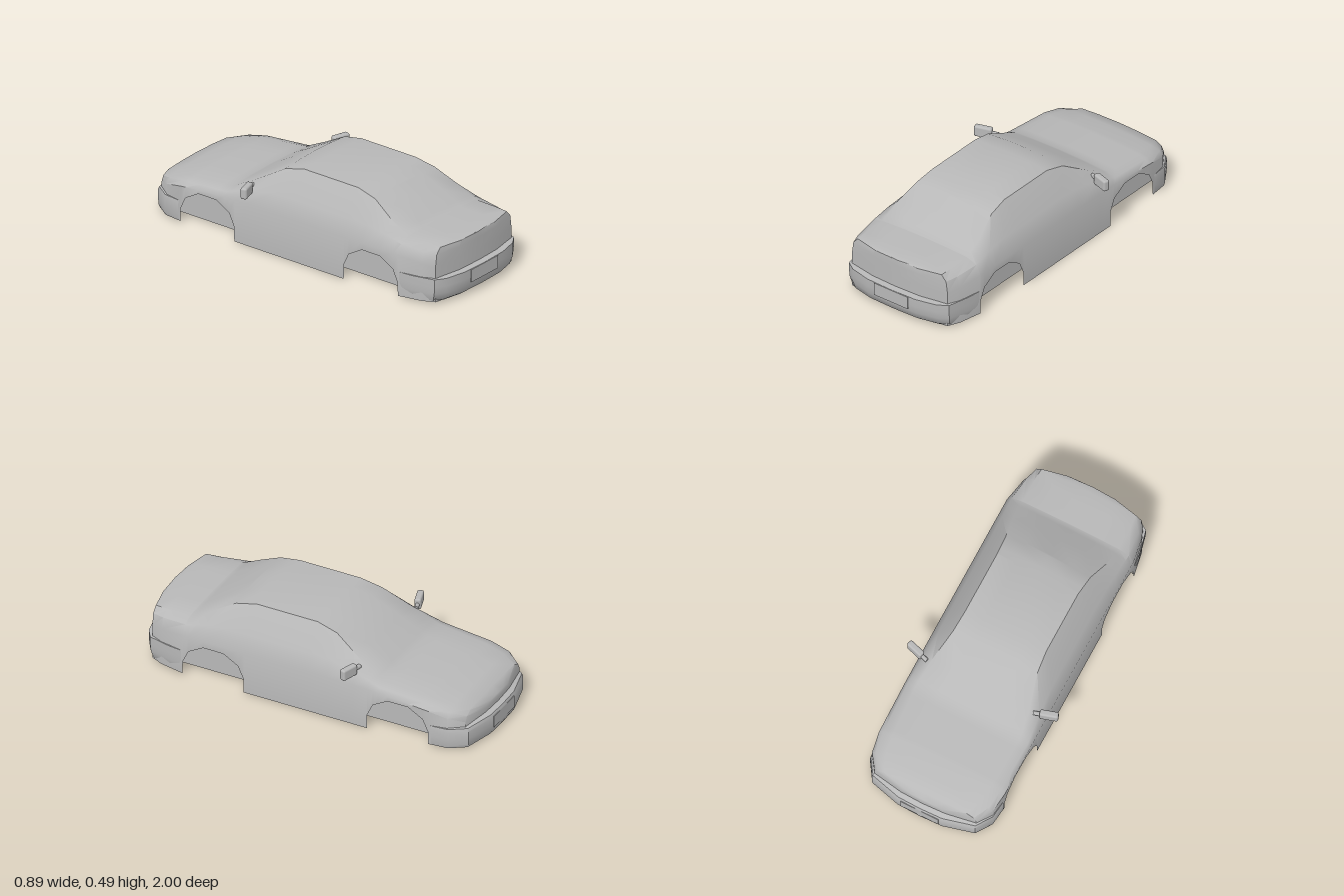
import * as THREE from 'three';
import { toCreasedNormals } from 'three/addons/utils/BufferGeometryUtils.js';
import { RoundedBoxGeometry } from 'three/addons/geometries/RoundedBoxGeometry.js';

const paint = new THREE.MeshStandardMaterial({ color: 0xb8b8b8, side: THREE.DoubleSide });
paint.name = 'bodyGrey';

// Skin a grid of points (rows of equal length) into one surface
function skin(rows, crease) {
  const n = rows[0].length, index = [];
  for (let i = 0; i < rows.length - 1; i++) {
    for (let j = 0; j < n - 1; j++) {
      const a = i * n + j, b = a + 1, c = a + n, d = c + 1;
      index.push(a, b, c, b, d, c);
    }
  }
  const geo = new THREE.BufferGeometry();
  geo.setAttribute('position', new THREE.Float32BufferAttribute(rows.flat(2), 3));
  geo.setIndex(index);
  return toCreasedNormals(geo, crease);
}

// Mirror a half row that runs from the +x side to the middle; result runs -x to +x
const mirrorRow = (half) => [
  ...half.map(([x, y, z]) => [-x, y, z]),
  ...half.slice(0, -1).reverse(),
];

// Body stations: z, half width, belt y, shoulder x y, roof edge x y, centre y
const STATIONS = [
  [0.956, 0, 0.22, 0, 0.29, 0, 0.322, 0.325],
  [0.95, 0.16, 0.22, 0.155, 0.29, 0.14, 0.322, 0.327],
  [0.92, 0.32, 0.22, 0.31, 0.29, 0.28, 0.323, 0.331],
  [0.85, 0.35, 0.235, 0.33, 0.295, 0.285, 0.325, 0.333],
  [0.71, 0.375, 0.25, 0.347, 0.305, 0.285, 0.328, 0.337],
  [0.59, 0.375, 0.25, 0.34, 0.33, 0.278, 0.388, 0.405],
  [0.46, 0.375, 0.25, 0.335, 0.343, 0.25, 0.458, 0.473],
  [0.34, 0.375, 0.25, 0.335, 0.345, 0.24, 0.483, 0.492],
  [-0.02, 0.375, 0.25, 0.335, 0.345, 0.24, 0.483, 0.492],
  [-0.14, 0.375, 0.25, 0.335, 0.34, 0.25, 0.455, 0.467],
  [-0.3, 0.375, 0.25, 0.345, 0.315, 0.29, 0.362, 0.38],
  [-0.45, 0.375, 0.245, 0.357, 0.268, 0.31, 0.284, 0.294],
  [-0.74, 0.373, 0.22, 0.348, 0.245, 0.295, 0.257, 0.268],
  [-0.85, 0.357, 0.195, 0.335, 0.222, 0.28, 0.236, 0.246],
  [-0.93, 0.3, 0.165, 0.285, 0.195, 0.245, 0.214, 0.225],
  [-0.96, 0.13, 0.15, 0.125, 0.165, 0.11, 0.18, 0.185],
  [-0.965, 0, 0.15, 0, 0.16, 0, 0.17, 0.175],
];

// Wheel arch outline, as z offset from the arch centre and y
const ARCH = [
  [0.18, 0.09], [0.147, 0.16], [0.06, 0.21],
  [-0.06, 0.21], [-0.147, 0.16], [-0.18, 0.09],
];
const arch = (centre) => ARCH.map(([dz, y]) => [centre + dz, y]);

// Lower edge of the body from end to end
const LOWER_EDGE = [
  [1, 0.02], [0.711, 0.015], ...arch(0.53), [0.349, 0.006],
  [-0.384, 0.006], ...arch(-0.565), [-0.746, 0.015], [-1, 0.02],
];

// Straight-line lookup in a table sorted by falling z
function sample(table, z) {
  let i = 0;
  while (i < table.length - 2 && table[i + 1][0] > z) i++;
  const a = table[i], b = table[i + 1];
  const t = THREE.MathUtils.clamp((a[0] - z) / (a[0] - b[0]), 0, 1);
  return a.map((v, k) => v + (b[k] - v) * t);
}

function bodyGeometry() {
  const zs = [...STATIONS, ...LOWER_EDGE.slice(1, -1)].map((s) => s[0]);
  const rows = [...new Set(zs)].sort((a, b) => b - a).map((z) => {
    const [, w, belt, sx, sy, ex, ey, cy] = sample(STATIONS, z);
    const low = sample(LOWER_EDGE, z)[1];
    return mirrorRow([
      [w, low, z], [w, belt, z], [sx, sy, z], [ex, ey, z],
      [ex * 0.55, cy - (cy - ey) * 0.3, z], [0, cy, z],
    ]);
  });
  return skin(rows, 0.75);
}

// Bumper: a plan curve drawn at several heights, each pulled in by a factor
function bumperGeometry(plan, levels) {
  const z0 = plan[0][1], flip = z0 < 0;
  const rows = levels.map(([y, s]) => {
    const row = mirrorRow(plan.map(([x, z]) => [x * (0.7 + 0.3 * s), y, z0 + (z - z0) * s]));
    return flip ? row.reverse() : row;
  });
  return skin(rows, 0.7);
}

export function createModel() {
  const car = new THREE.Group();
  car.name = 'carBody';
  const add = (name, geo, parent = car) => {
    const mesh = new THREE.Mesh(geo, paint);
    mesh.name = name;
    parent.add(mesh);
    return mesh;
  };

  add('bodyShell', bodyGeometry());

  add('bootBumper', bumperGeometry(
    [[0.374, 0.72], [0.365, 0.8], [0.335, 0.925], [0.28, 0.962], [0.16, 0.99], [0, 0.995]],
    [[0.018, 0.87], [0.03, 0.93], [0.07, 0.985], [0.11, 1], [0.155, 1], [0.158, 0.8]],
  ));
  add('bonnetBumper', bumperGeometry(
    [[0.374, -0.76], [0.364, -0.86], [0.305, -0.95], [0.13, -0.996], [0, -1]],
    [[0.015, 0.96], [0.03, 0.99], [0.07, 1], [0.115, 1], [0.132, 0.97], [0.145, 0.82]],
  ));

  // Number plates, blank
  add('bootPlate', new THREE.BoxGeometry(0.224, 0.073, 0.008)).position.set(0, 0.117, 0.993);
  add('bonnetPlate', new THREE.BoxGeometry(0.224, 0.068, 0.008)).position.set(0, 0.082, -0.996);

  for (const side of [-1, 1]) {
    // Flat inner wall behind the wheel arches
    const wall = add(side > 0 ? 'leftInnerWall' : 'rightInnerWall', new THREE.PlaneGeometry(1.65, 0.2));
    wall.rotation.y = side * Math.PI / 2;
    wall.position.set(side * 0.28, 0.115, -0.025);

    // Door mirror on a short stalk
    const mirror = new THREE.Group();
    mirror.name = side > 0 ? 'leftMirror' : 'rightMirror';
    mirror.position.set(side * 0.395, 0.338, -0.285);
    mirror.rotation.y = -side * 0.3;
    add('mirrorHead', new RoundedBoxGeometry(0.1, 0.064, 0.036, 3, 0.011), mirror);
    const stalk = add('mirrorStalk', new THREE.CylinderGeometry(0.012, 0.012, 0.05, 8), mirror);
    stalk.rotation.z = Math.PI / 2;
    stalk.position.x = -side * 0.06;
    car.add(mirror);
  }
  return car;
}
